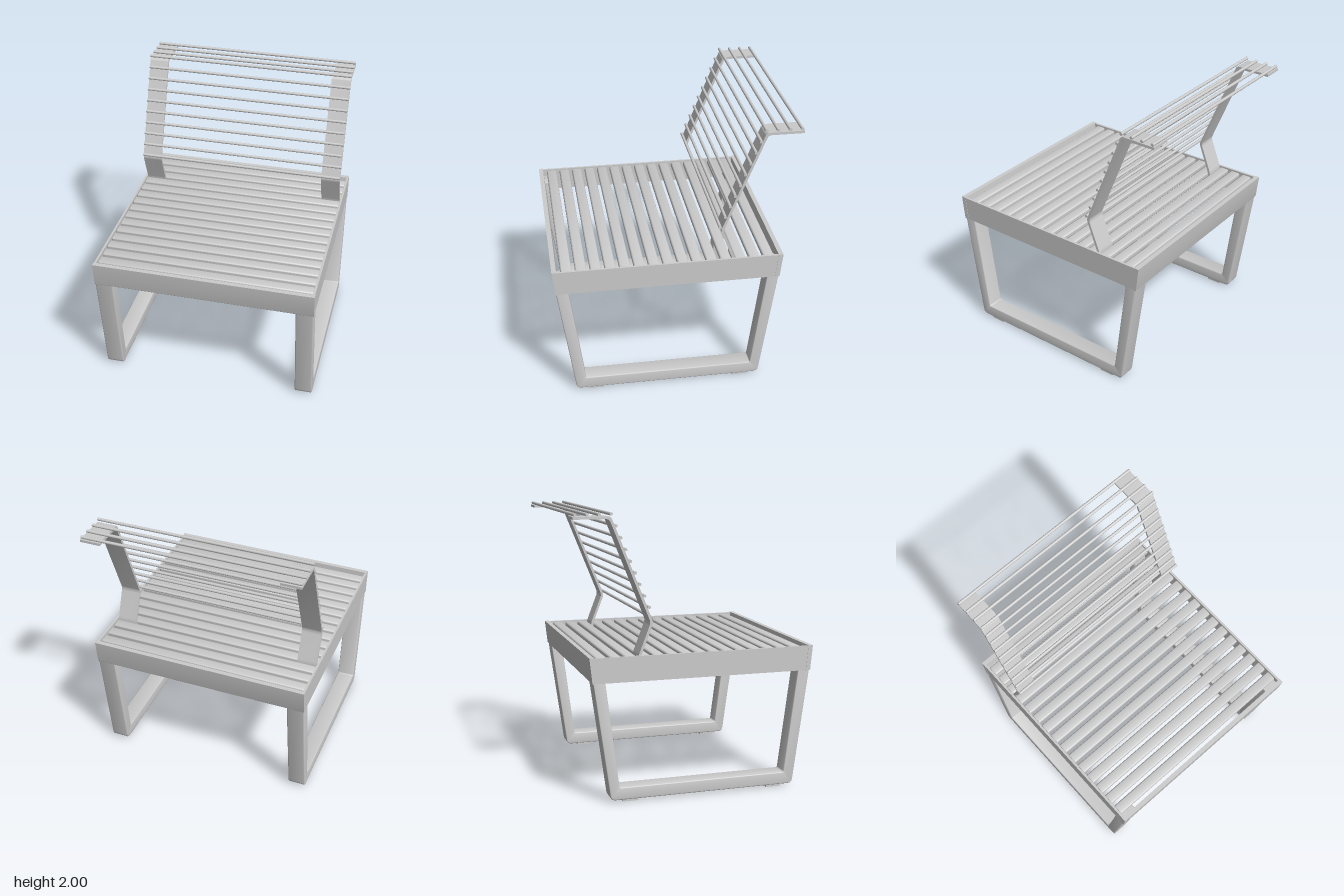
import * as THREE from 'three';
import { toCreasedNormals } from 'three/addons/utils/BufferGeometryUtils.js';

const material = new THREE.MeshStandardMaterial({ color: 0xcccccc });

// Closed outline from [z, y, cornerRadius] points, each corner rounded by its radius
function outline(points) {
  const shape = new THREE.Shape();
  const n = points.length;
  points.forEach(([z, y, r = 0], i) => {
    const p = new THREE.Vector2(z, y);
    const toward = (q) => new THREE.Vector2(q[0], q[1]).sub(p).setLength(r).add(p);
    const a = toward(points[(i + n - 1) % n]);
    const b = toward(points[(i + 1) % n]);
    if (i === 0) shape.moveTo(a.x, a.y);
    else shape.lineTo(a.x, a.y);
    if (r > 0) shape.quadraticCurveTo(p.x, p.y, b.x, b.y);
  });
  shape.closePath();
  return shape;
}

// Sweep a z-y outline along x, centred on x = 0
function sweepX(points, width, bevel = 0) {
  const geo = new THREE.ExtrudeGeometry(outline(points), {
    depth: width - 2 * bevel, curveSegments: 6,
    bevelEnabled: bevel > 0, bevelSize: bevel, bevelThickness: bevel,
    bevelOffset: -bevel, bevelSegments: 3,
  });
  geo.translate(0, 0, -(width - 2 * bevel) / 2);
  geo.rotateY(-Math.PI / 2);
  return toCreasedNormals(geo, 0.6);
}

// Outline of a bent strip of constant thickness following a z-y path
function stripOutline(path, thickness) {
  const pts = path.map(([z, y]) => new THREE.Vector2(z, y));
  const normal = (a, b) => new THREE.Vector2(a.y - b.y, b.x - a.x).normalize();
  const side = (sign) => pts.map((p, i) => {
    const n1 = normal(pts[Math.max(i - 1, 0)], pts[Math.max(i, 1)]);
    const n2 = normal(pts[Math.min(i, pts.length - 2)], pts[Math.min(i + 1, pts.length - 1)]);
    const m = n1.clone().add(n2).normalize();
    const k = sign * thickness / 2 / m.dot(n1);
    const inner = i > 0 && i < pts.length - 1;
    return [p.x + m.x * k, p.y + m.y * k, inner ? 0.022 : 0];
  });
  return [...side(1), ...side(-1).reverse()];
}

export function createModel() {
  const model = new THREE.Group();
  const add = (name, geo, x = 0, y = 0, z = 0) => {
    const mesh = new THREE.Mesh(geo, material);
    mesh.name = name;
    mesh.position.set(x, y, z);
    model.add(mesh);
    return mesh;
  };

  // U-shaped leg frames with splayed uprights
  const legFrame = sweepX([
    [0.861, 0.97], [0.774, 0.97], [0.66, 0.105, 0.012], [-0.565, 0.105, 0.012],
    [-0.674, 0.97], [-0.761, 0.97], [-0.628, 0.015, 0.035], [0.728, 0.015, 0.035],
  ], 0.128, 0.008);

  // Side rails, feet and backrest straps, mirrored left and right
  const sideRail = sweepX([[0.865, 1.027], [0.843, 0.85], [-0.743, 0.85], [-0.765, 1.027]], 0.016);
  const foot = new THREE.BoxGeometry(0.11, 0.02, 0.11);
  const strap = sweepX(stripOutline([
    [-0.414, 0.87], [-0.414, 1.02], [-0.325, 1.25], [-0.612, 1.966], [-0.865, 1.966],
  ], 0.018), 0.145);
  for (const s of [1, -1]) {
    const label = s > 0 ? 'left' : 'right';
    add(label + 'LegFrame', legFrame, s * 0.734);
    add(label + 'SideRail', sideRail, s * 0.791);
    add(label + 'FrontFoot', foot, s * 0.734, 0.01, 0.585);
    add(label + 'BackFoot', foot, s * 0.734, 0.01, -0.485);
    add(label + 'BackrestStrap', strap, s * 0.708);
  }

  // Leaning front and back rails
  add('frontRail', sweepX([
    [0.868, 1.03], [0.835, 1.03], [0.817, 0.848], [0.85, 0.848, 0.008],
  ], 1.602));
  add('backRail', sweepX([
    [-0.77, 1.03], [-0.75, 0.848, 0.008], [-0.717, 0.848], [-0.737, 1.03],
  ], 1.602));

  // Seat slats with rounded edges
  const w = 0.039, h = 0.02;
  const slat = sweepX([[-w, -h, 0.016], [w, -h, 0.016], [w, h, 0.016], [-w, h, 0.016]], 1.56, 0.004);
  for (let i = 0; i < 15; i++) add('seatSlat', slat, 0, 0.998, 0.765 - i * 0.1025);

  // Round backrest bars: up the slope, then along the headrest
  const bar = new THREE.CylinderGeometry(0.011, 0.011, 1.56, 16).rotateZ(Math.PI / 2);
  for (let i = 0; i < 10; i++) {
    add('backrestBar', bar, 0, 1.275 + i * 0.0795, -0.311 - i * 0.0326);
  }
  for (let i = 0; i < 3; i++) add('headrestBar', bar, 0, 1.988, -0.685 - i * 0.082);

  return model;
}
